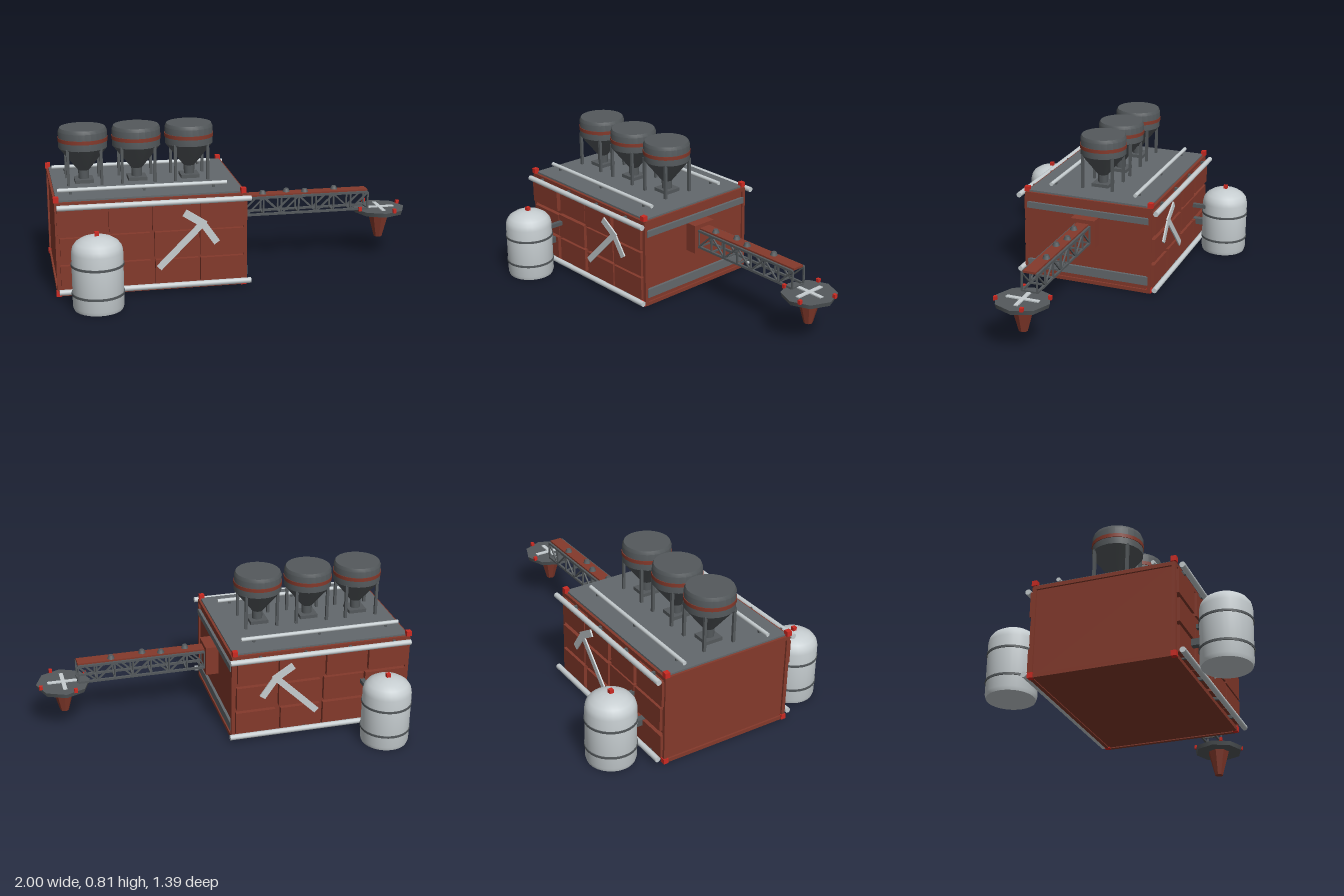
import * as THREE from 'three';
import { toCreasedNormals } from 'three/addons/utils/BufferGeometryUtils.js';

const mat = (name, color) => {
  const m = new THREE.MeshStandardMaterial({ color });
  m.name = name;
  return m;
};

export function createModel() {
  const rust = mat('rust red', 0x84392b);
  const steel = mat('steel grey', 0x63686c);
  const dark = mat('dark steel', 0x54595c);
  const pale = mat('pale metal', 0xc6cdd0);
  const red = mat('signal red', 0xcc2a22);

  const model = new THREE.Group();
  model.name = 'miningStation';

  // Helpers
  const group = (name, x = 0, y = 0, z = 0) => {
    const g = new THREE.Group();
    g.name = name;
    g.position.set(x, y, z);
    model.add(g);
    return g;
  };
  const add = (parent, name, geo, m, x = 0, y = 0, z = 0) => {
    const mesh = new THREE.Mesh(geo, m);
    mesh.name = name;
    mesh.position.set(x, y, z);
    parent.add(mesh);
    return mesh;
  };
  const box = (parent, name, m, w, h, d, x, y, z) =>
    add(parent, name, new THREE.BoxGeometry(w, h, d), m, x, y, z);
  const cyl = (parent, name, m, rTop, rBottom, h, n, x, y, z) =>
    add(parent, name, new THREE.CylinderGeometry(rTop, rBottom, h, n), m, x, y, z);
  const lathe = (pts, n) => toCreasedNormals(
    new THREE.LatheGeometry(pts.map(p => new THREE.Vector2(p[0], p[1])), n), 0.45);
  // Square bar between two points
  const bar = (parent, name, m, a, b, w, d = w) => {
    const from = new THREE.Vector3(...a), to = new THREE.Vector3(...b);
    const mesh = box(parent, name, m, w, from.distanceTo(to), d, 0, 0, 0);
    mesh.position.copy(from).lerp(to, 0.5);
    mesh.quaternion.setFromUnitVectors(new THREE.Vector3(0, 1, 0), to.sub(from).normalize());
    return mesh;
  };
  const pipe = (parent, name, m, r, x0, x1, y, z) => {
    const p = cyl(parent, name, m, r, r, x1 - x0, 12, (x0 + x1) / 2, y, z);
    p.rotation.z = Math.PI / 2;
    return p;
  };
  let seed = 7;
  const jitter = s => {
    seed = (seed * 16807) % 2147483647;
    return (seed / 2147483647 - 0.5) * s;
  };

  // Main hull and roof
  const hull = group('hull');
  box(hull, 'hullBody', rust, 0.98, 0.49, 0.73, -0.495, 0.255, 0);
  box(hull, 'roof', steel, 0.975, 0.014, 0.72, -0.495, 0.507, 0);
  for (const z of [-0.365, 0.365]) {
    for (const y of [0.015, 0.495]) box(hull, 'edgeTrim', rust, 0.985, 0.02, 0.02, -0.495, y, z);
    for (const x of [-0.985, -0.005]) {
      box(hull, 'cornerPost', rust, 0.02, 0.49, 0.02, x, 0.255, z);
      for (const y of [0.018, 0.52])
        box(hull, 'cornerLight', red, 0.028, 0.028, 0.028, x < -0.5 ? -0.986 : -0.014, y, z);
    }
  }
  for (const x of [-0.985, -0.005])
    for (const y of [0.015, 0.495]) box(hull, 'endTrim', rust, 0.02, 0.02, 0.74, x, y, 0);
  box(hull, 'lowerEndStripe', steel, 0.02, 0.05, 0.72, 0.0, 0.078, 0);
  box(hull, 'upperEndStripe', steel, 0.02, 0.035, 0.72, 0.0, 0.43, 0);

  // Side panels, pipes and emblem, mirrored front to back
  for (const s of [1, -1]) {
    const side = group(s > 0 ? 'frontSide' : 'backSide');
    for (let row = 0; row < 3; row++)
      for (let col = 0; col < 4; col++)
        box(side, 'hullPanel', rust, 0.222 + jitter(0.02), 0.132 + jitter(0.016), 0.03,
          -0.864 + col * 0.245 + jitter(0.02), 0.105 + row * 0.15 + jitter(0.012), s * 0.374);
    for (const y of [0.035, 0.485]) {
      pipe(side, 'sidePipe', pale, 0.015, -0.985, 0.02, y, s * 0.405);
      for (const x of [-0.9, -0.65, -0.4, -0.15])
        box(side, 'pipeBracket', dark, 0.014, 0.02, 0.045, x, y, s * 0.383);
    }
    pipe(side, 'roofPipe', pale, 0.011, -0.97, -0.08, 0.536, s * 0.25);
    for (const x of [-0.9, -0.52, -0.15])
      box(side, 'roofPipeFoot', dark, 0.012, 0.02, 0.012, x, 0.521, s * 0.25);
    const z = s * 0.393;
    bar(side, 'pickHandle', pale, [-0.467, 0.13, z], [-0.235, 0.36, z], 0.034, 0.008);
    bar(side, 'pickHeadUpper', pale, [-0.33, 0.422, z], [-0.222, 0.352, z], 0.04, 0.009);
    bar(side, 'pickHeadLower', pale, [-0.236, 0.362, z], [-0.16, 0.252, z], 0.036, 0.009);
  }

  // Storage tanks
  const tankGeo = lathe([[0, 0], [0.124, 0], [0.13, 0.02], [0.13, 0.3], [0.124, 0.326],
    [0.108, 0.348], [0.08, 0.366], [0.045, 0.378], [0, 0.382]], 28);
  for (const s of [1, -1]) {
    const tank = group(s > 0 ? 'frontTank' : 'backTank', -0.8, 0, s * 0.562);
    add(tank, 'tankShell', tankGeo, pale);
    for (const y of [0.085, 0.235]) cyl(tank, 'tankBand', dark, 0.134, 0.134, 0.012, 28, 0, y, 0);
    box(tank, 'tankLight', red, 0.022, 0.022, 0.022, 0, 0.39, 0);
    box(tank, 'upperFeed', dark, 0.025, 0.022, 0.13, 0.075, 0.277, -s * 0.145);
    box(tank, 'lowerFeed', dark, 0.035, 0.035, 0.1, 0, 0.152, -s * 0.16);
  }

  // Roof hoppers
  const hopperGeo = lathe([[0, 0.53], [0.028, 0.53], [0.03, 0.58], [0.122, 0.695], [0.13, 0.705],
    [0.13, 0.795], [0.122, 0.813], [0, 0.813]], 24);
  for (const x of [-0.812, -0.526, -0.24]) {
    const hopper = group('hopper', x, 0, 0);
    add(hopper, 'hopperShell', hopperGeo, dark);
    cyl(hopper, 'hopperBand', rust, 0.133, 0.133, 0.02, 24, 0, 0.751, 0);
    box(hopper, 'hopperBase', dark, 0.1, 0.02, 0.1, 0, 0.523, 0);
    for (const lx of [-0.088, 0.088])
      for (const lz of [-0.088, 0.088])
        box(hopper, 'hopperLeg', dark, 0.015, 0.2, 0.015, lx, 0.611, lz);
  }

  // Boom mount and lattice boom
  const boom = group('boom');
  box(boom, 'boomMount', rust, 0.07, 0.165, 0.14, 0.034, 0.331, 0);
  box(boom, 'boomDeck', rust, 0.71, 0.012, 0.07, 0.415, 0.386, 0);
  const bays = 7, x0 = 0.07, step = 0.1, low = 0.283, high = 0.378;
  for (const z of [-0.042, 0.042]) {
    for (const y of [low, high])
      bar(boom, 'chord', dark, [x0, y, z], [x0 + bays * step, y, z], 0.012);
    for (let i = 0; i <= bays; i++) {
      const x = x0 + i * step;
      bar(boom, 'upright', dark, [x, low, z], [x, high, z], 0.009);
      if (i < bays)
        bar(boom, 'diagonal', dark, [x, i % 2 ? high : low, z],
          [x + step, i % 2 ? low : high, z], 0.008);
    }
  }
  for (let i = 0; i <= bays; i++)
    bar(boom, 'crossTie', dark, [x0 + i * step, low, -0.042], [x0 + i * step, low, 0.042], 0.009);
  [[0.17, 0.01], [0.31, -0.012], [0.41, 0.01], [0.585, -0.012]].forEach(([x, z]) =>
    cyl(boom, 'deckStud', dark, 0.013, 0.021, 0.018, 8, x, 0.401, z));

  // Landing pad with drill cone
  const pad = group('landingPad', 0.85, 0, 0);
  cyl(pad, 'padDeck', dark, 0.147, 0.14, 0.024, 8, 0, 0.263, 0);
  box(pad, 'padCrossLong', pale, 0.17, 0.006, 0.022, 0, 0.278, 0);
  box(pad, 'padCrossWide', pale, 0.022, 0.0064, 0.18, 0, 0.278, 0);
  const cone = new THREE.CylinderGeometry(0.064, 0.024, 0.147, 8).toNonIndexed();
  cone.computeVertexNormals();
  add(pad, 'padCone', cone, rust, 0, 0.178, 0);
  for (let i = 0; i < 4; i++) {
    const a = Math.PI * (0.375 + i / 2);
    box(pad, 'padLight', red, 0.018, 0.022, 0.018, Math.cos(a) * 0.136, 0.283, Math.sin(a) * 0.136);
  }

  return model;
}
